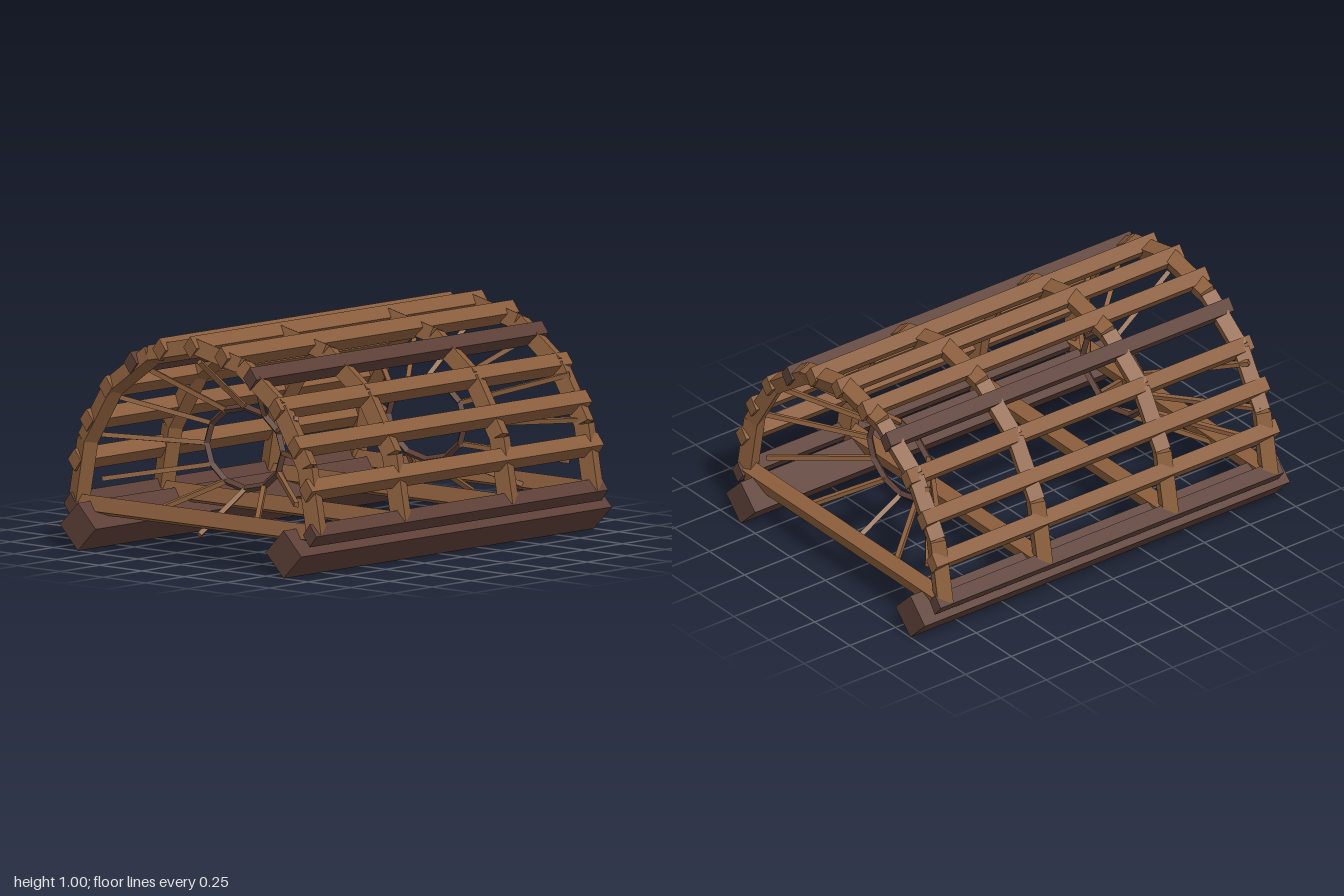
import * as THREE from 'three';

export function createModel() {
  const model = new THREE.Group();
  const lightWood = new THREE.MeshStandardMaterial({ color: 0x8b5e3c });
  lightWood.name = 'light wood';
  const darkWood = new THREE.MeshStandardMaterial({ color: 0x5d4037 });
  darkWood.name = 'dark wood';

  function add(parent, name, geometry, material) {
    const mesh = new THREE.Mesh(geometry, material);
    mesh.name = name;
    parent.add(mesh);
    return mesh;
  }

  // Diamond-section beam running along z
  function diamondBeam(name, x, y, halfWidth, halfHeight, length, material) {
    const shape = new THREE.Shape([
      new THREE.Vector2(halfWidth, 0), new THREE.Vector2(0, halfHeight),
      new THREE.Vector2(-halfWidth, 0), new THREE.Vector2(0, -halfHeight),
    ]);
    const geo = new THREE.ExtrudeGeometry(shape, { depth: length, bevelEnabled: false });
    geo.translate(x, y, -length / 2);
    add(model, name, geo, material);
  }

  // Slightly rolled square bar between two points of a plane z
  function rolledBar(parent, name, a, b) {
    const bar = add(parent, name, new THREE.BoxGeometry(a.distanceTo(b), 0.069, 0.069), lightWood);
    bar.position.copy(a).lerp(b, 0.5);
    bar.rotation.set(-0.35, 0, Math.atan2(b.y - a.y, b.x - a.x), 'ZYX');
  }

  // Thin square stick between any two points
  function stick(parent, name, a, b, radius, material) {
    const geo = new THREE.CylinderGeometry(radius, radius, a.distanceTo(b), 4).toNonIndexed();
    geo.computeVertexNormals();
    const mesh = add(parent, name, geo, material);
    mesh.position.copy(a).lerp(b, 0.5);
    mesh.quaternion.setFromUnitVectors(new THREE.Vector3(0, 1, 0), b.clone().sub(a).normalize());
  }

  // Point on an ellipse, angle measured from the top
  const oval = (angle, rx, ry, cy, z) =>
    new THREE.Vector3(Math.sin(angle) * rx, cy + Math.cos(angle) * ry, z);

  // Two runners under the cage
  for (const side of [-1, 1]) {
    diamondBeam('runner', side * 0.605, 0.105, 0.105, 0.105, 2, darkWood);
  }

  // Lengthwise slats over the arches, some of them dark
  for (let i = -6; i <= 6; i++) {
    const p = oval(i * Math.PI / 12, 0.704, 0.755, 0.19, 0);
    const dark = Math.abs(i) === 2 || Math.abs(i) === 6;
    diamondBeam('slat', p.x, p.y, 0.039, 0.05, 1.88, dark ? darkWood : lightWood);
  }

  // Four arched frames, each with a floor crossbar
  for (const z of [-0.89, -0.345, 0.345, 0.89]) {
    const frame = new THREE.Group();
    frame.name = 'archFrame';
    model.add(frame);
    for (let i = -4; i < 4; i++) {
      rolledBar(frame, 'archSegment',
        oval(i * Math.PI / 8, 0.7, 0.75, 0.19, z), oval((i + 1) * Math.PI / 8, 0.7, 0.75, 0.19, z));
    }
    rolledBar(frame, 'crossbar', new THREE.Vector3(-0.7, 0.19, z), new THREE.Vector3(0.7, 0.19, z));
  }

  // Funnel entrance at each end: inner ring with spokes reaching the outer frame
  for (const side of [-1, 1]) {
    const funnel = new THREE.Group();
    funnel.name = 'entranceFunnel';
    model.add(funnel);
    for (let i = 0; i < 12; i++) {
      const a = i * Math.PI / 6, b = a + Math.PI / 6;
      const inner = oval(a, 0.225, 0.18, 0.467, side * 0.585);
      stick(funnel, 'ringSegment', inner, oval(b, 0.225, 0.18, 0.467, side * 0.585), 0.017, darkWood);
      stick(funnel, 'spoke', inner, oval(a, 0.66, 0.38, 0.497, side * 0.88), 0.015, lightWood);
    }
  }

  return model;
}
